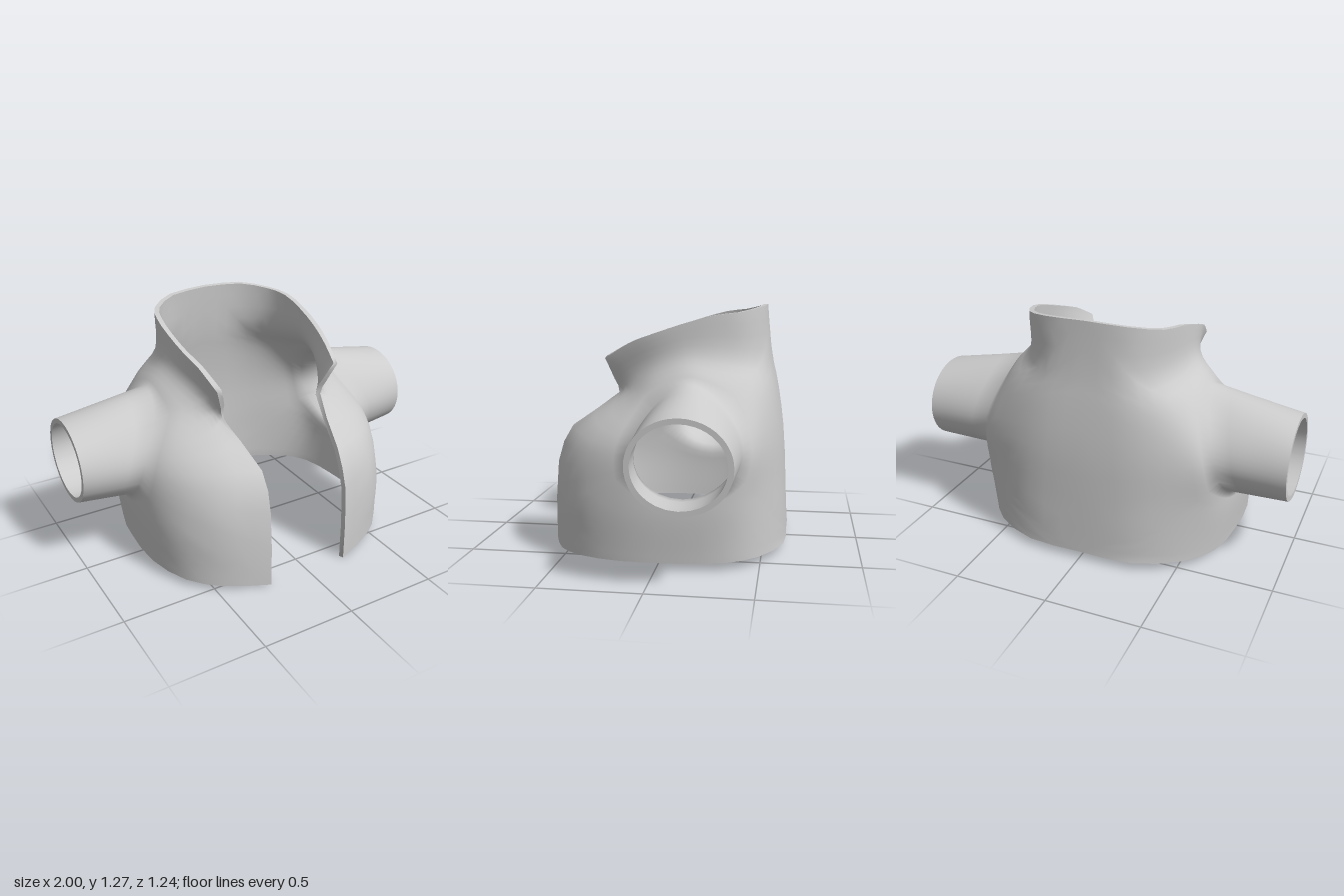
import * as THREE from 'three';

const THICKNESS = 0.026;

// Cross-sections of the left half, from the middle of the back round to the front edge.
// In every section the fifth point lies on the centre line of the arm.
const hem = [[0, .04, -.62], [.29, .04, -.61], [.53, .04, -.49], [.65, .04, -.33], [.69, .04, -.1],
  [.69, .04, .17], [.61, .035, .4], [.46, .02, .53], [.23, 0, .62]];
const belowArm = [[0, .34, -.61], [.29, .34, -.59], [.52, .34, -.5], [.66, .34, -.38], [.71, .34, -.14],
  [.71, .34, .14], [.63, .36, .36], [.47, .4, .52], [.23, .43, .605]];
const armLevel = [[0, .6, -.595], [.27, .6, -.58], [.5, .6, -.51], [.64, .6, -.42], [.68, .6, -.16],
  [.68, .6, .12], [.57, .61, .33], [.41, .63, .45], [.23, .63, .52]];
const shoulder = [[0, .85, -.555], [.24, .85, -.545], [.42, .86, -.47], [.52, .87, -.33], [.54, .895, -.14],
  [.5, .86, .05], [.42, .83, .16], [.35, .82, .22], [.3, .82, .25]];
const collarBase = [[0, 1, -.525], [.2, 1, -.51], [.34, 1, -.42], [.42, 1.01, -.27], [.44, 1.02, -.12],
  [.42, .99, .02], [.38, .95, .13], [.345, .91, .21], [.32, .89, .27]];
const collarTop = [[0, 1.27, -.5], [.22, 1.26, -.48], [.36, 1.235, -.38], [.41, 1.22, -.25], [.42, 1.18, -.1],
  [.41, 1.13, .05], [.39, 1.09, .16], [.375, 1.045, .24], [.36, 1, .31]];

const curve = points => new THREE.CatmullRomCurve3(points);
const sections = [hem, belowArm, armLevel, shoulder, collarBase, collarTop]
  .map(s => curve(s.map(p => new THREE.Vector3(...p))));

// Point of the body at u = 0..8 (back to front) and v = 0..5 (hem to collar)
function bodyPoint(u, v) {
  const across = THREE.MathUtils.clamp(u / 8, 0, 1);
  const up = THREE.MathUtils.clamp(v / 5, 0, 1);
  return curve(sections.map(s => s.getPoint(across))).getPoint(up);
}

// Walk round the border of the half body: hem, front edge, collar, back seam
function borderPoints() {
  const corners = [[0, 0], [8, 0], [8, 5], [0, 5]];
  const border = [];
  corners.forEach(([u, v], k) => {
    const [u2, v2] = corners[(k + 1) % 4];
    const n = Math.max(Math.abs(u2 - u), Math.abs(v2 - v)) * 2;
    for (let i = 0; i < n; i++) border.push([u + (u2 - u) * i / n, v + (v2 - v) * i / n]);
  });
  return border;
}

function indexed(points, index) {
  const g = new THREE.BufferGeometry().setFromPoints(points);
  g.setIndex(index);
  g.computeVertexNormals();
  return g;
}

// Indices for a closed grid: rays go round, steps go from the cuff to the border
function gridIndex(rays, steps) {
  const index = [];
  for (let i = 0; i < rays; i++) {
    for (let j = 0; j < steps - 1; j++) {
      const a = i * steps + j, b = ((i + 1) % rays) * steps + j;
      index.push(a, b, a + 1, b, b + 1, a + 1);
    }
  }
  return index;
}

const flipped = index => {
  const out = [];
  for (let i = 0; i < index.length; i += 3) out.push(index[i], index[i + 2], index[i + 1]);
  return out;
};

function mirrored(geometry) {
  const g = geometry.clone().scale(-1, 1, 1);
  g.setIndex(flipped(Array.from(geometry.index.array)));
  return g;
}

// Keep shading even across the back seam
function evenSeam(geometry) {
  const p = geometry.attributes.position, n = geometry.attributes.normal;
  const v = new THREE.Vector3();
  for (let i = 0; i < p.count; i++) {
    if (Math.abs(p.getX(i)) > 1e-4) continue;
    v.fromBufferAttribute(n, i).setX(0).normalize();
    n.setXYZ(i, v.x, v.y, v.z);
  }
}

function buildHalf() {
  const border = borderPoints();
  const rays = border.length, sleeveSteps = 4, bodySteps = 9;
  const steps = sleeveSteps + bodySteps + 1;

  // Each ray runs along the sleeve to the armhole, then over the body to its border
  const outer = [];
  for (const [u, v] of border) {
    const du = u - 4, dv = v - 2, length = Math.hypot(du, dv);
    const c = du / length, s = dv / length;
    const cuff = new THREE.Vector3(1, .58 + .22 * s, -.16 + .245 * c);
    const armhole = bodyPoint(4 + c, 2 + s);
    for (let j = 0; j < sleeveSteps; j++) outer.push(cuff.clone().lerp(armhole, j / sleeveSteps));
    for (let j = 0; j <= bodySteps; j++) {
      const r = 1 + (length - 1) * j / bodySteps;
      outer.push(bodyPoint(4 + c * r, 2 + s * r));
    }
  }
  const index = gridIndex(rays, steps);
  const outside = indexed(outer, index);
  evenSeam(outside);

  // Lining: the same surface moved inwards
  const normals = outside.attributes.normal;
  const inner = outer.map((p, i) => {
    const n = new THREE.Vector3().fromBufferAttribute(normals, i);
    if (i % steps === 0) n.setX(0).normalize();
    return p.clone().addScaledVector(n, -THICKNESS);
  });
  const lining = indexed(inner, flipped(index));
  evenSeam(lining);

  // Strips that close the cuff and the garment border, leaving the back seam open
  const strip = (step, reverse) => {
    const points = [], faces = [];
    for (let i = 0; i < rays; i++) {
      points.push(outer[i * steps + step], inner[i * steps + step]);
      const k = (i + 1) % rays;
      const onSeam = step > 0 && border[i][0] === 0 && border[k][0] === 0;
      if (!onSeam) faces.push(2 * i, 2 * i + 1, 2 * k, 2 * k, 2 * i + 1, 2 * k + 1);
    }
    return indexed(points, reverse ? flipped(faces) : faces);
  };
  return {
    outerFabric: outside,
    lining,
    cuffRim: strip(0, false),
    edgeBinding: strip(steps - 1, true),
  };
}

export function createModel() {
  const model = new THREE.Group();
  model.name = 'openJacket';
  const fabric = new THREE.MeshStandardMaterial({ color: 0xcccccc });
  fabric.name = 'grey fabric';

  const parts = buildHalf();
  for (const side of ['left', 'right']) {
    const half = new THREE.Group();
    half.name = side + 'Half';
    for (const [name, geometry] of Object.entries(parts)) {
      const mesh = new THREE.Mesh(side === 'left' ? geometry : mirrored(geometry), fabric);
      mesh.name = name;
      half.add(mesh);
    }
    model.add(half);
  }
  return model;
}
